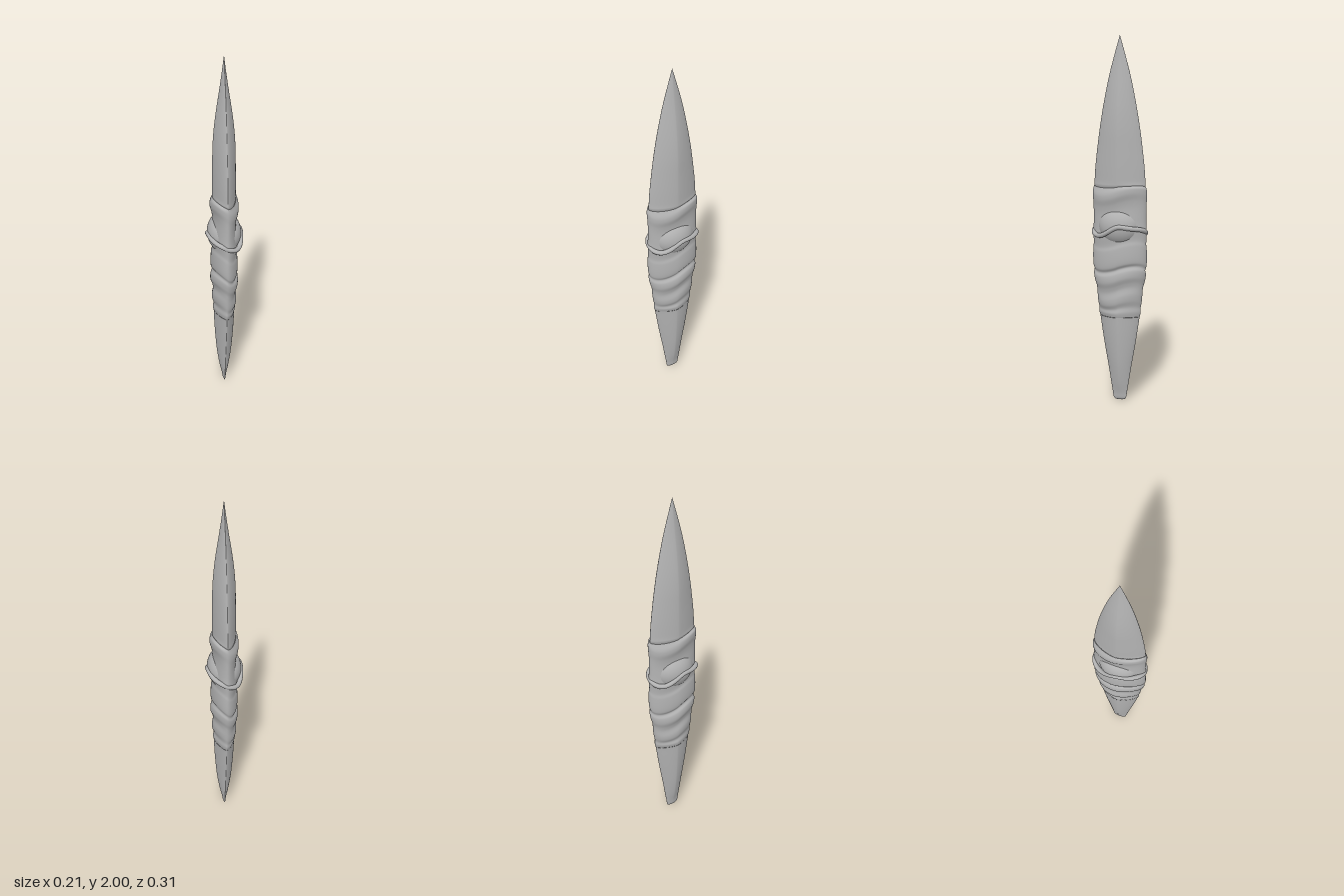
import * as THREE from 'three';

const SIDES = 72;
const stone = new THREE.MeshStandardMaterial({ color: 0xb2b2b2 });
stone.name = 'pale grey';

// 1 inside the wrapped grip, fading to 0 on the blade and tail
const grip = y => THREE.MathUtils.smoothstep(y, 0.46, 0.6) * (1 - THREE.MathUtils.smoothstep(y, 1.17, 1.22));
const power = (v, p) => Math.sign(v) * Math.abs(v) ** p;

// Lofts lens-shaped sections [half width, height, half depth], listed top to bottom
function loft(name, sections, rows) {
  const curve = new THREE.CatmullRomCurve3(sections.map(s => new THREE.Vector3(...s)), false, 'centripetal');
  const pos = [], index = [];
  for (let i = 0; i <= rows; i++) {
    const c = curve.getPoint(i / rows), g = grip(c.y), p = 1.42 - 0.3 * g;
    for (let j = 0; j < SIDES; j++) {
      const a = j / SIDES * Math.PI * 2;
      pos.push(Math.max(c.x, 0) * power(Math.cos(a), p),
        c.y - 0.022 * g * Math.sin(2 * a),
        Math.max(c.z, 0) * power(Math.sin(a), p));
      if (i < rows) {
        const k = (j + 1) % SIDES, r = i * SIDES, n = r + SIDES;
        index.push(r + j, r + k, n + j, r + k, n + k, n + j);
      }
    }
  }
  // flat lower end
  const last = rows * SIDES, centre = pos.length / 3;
  pos.push(0, sections.at(-1)[1], 0);
  for (let j = 0; j < SIDES; j++) index.push(last + j, last + (j + 1) % SIDES, centre);
  const geo = new THREE.BufferGeometry();
  geo.setAttribute('position', new THREE.Float32BufferAttribute(pos, 3));
  geo.setIndex(index);
  geo.computeVertexNormals();
  return named(name, geo);
}

function named(name, geo) {
  const mesh = new THREE.Mesh(geo, stone);
  mesh.name = name;
  return mesh;
}

export function createModel() {
  const model = new THREE.Group();
  model.name = 'doubleEndedBlade';

  model.add(loft('upperBlade', [
    [0, 2, 0], [0.012, 1.9, 0.029], [0.026, 1.8, 0.056], [0.041, 1.7, 0.078], [0.053, 1.6, 0.097],
    [0.06, 1.5, 0.113], [0.062, 1.4, 0.126], [0.063, 1.3, 0.137], [0.063, 1.19, 0.144]
  ], 40));

  // folded wrapping with raised bands and creases
  model.add(loft('wrappedGrip', [
    [0.063, 1.2, 0.144], [0.074, 1.18, 0.15], [0.076, 1.15, 0.151], [0.066, 1.11, 0.148],
    [0.062, 1.07, 0.147], [0.066, 1.0, 0.147], [0.068, 0.95, 0.15], [0.064, 0.89, 0.147],
    [0.07, 0.86, 0.15], [0.071, 0.77, 0.149], [0.06, 0.747, 0.142], [0.072, 0.725, 0.146],
    [0.075, 0.69, 0.141], [0.064, 0.655, 0.131], [0.06, 0.63, 0.128], [0.067, 0.59, 0.125],
    [0.066, 0.56, 0.122], [0.057, 0.53, 0.117], [0.062, 0.505, 0.118], [0.058, 0.48, 0.112]
  ], 130));

  model.add(loft('lowerBlade', [
    [0.058, 0.49, 0.113], [0.055, 0.4, 0.1], [0.049, 0.3, 0.084], [0.04, 0.2, 0.066],
    [0.025, 0.1, 0.05], [0.012, 0.04, 0.04], [0.008, 0.012, 0.035], [0.004, 0.003, 0.026], [0.002, 0, 0.015]
  ], 40));

  // rounded boss showing on both broad faces
  const boss = new THREE.SphereGeometry(1, 48, 32);
  boss.scale(0.092, 0.112, 0.118);
  boss.translate(0, 0.985, 0);
  model.add(named('boss', boss));

  // slanted lid band running round the boss and both edges
  const path = [];
  for (let i = 0; i < 48; i++) {
    const a = i / 48 * Math.PI * 2, c = Math.cos(a), s = Math.sin(a);
    path.push(new THREE.Vector3(0.09 * power(c, 0.95), 0.955 + 0.03 * c ** 8 - 0.022 * Math.sin(2 * a), 0.143 * power(s, 1.1)));
  }
  const lid = new THREE.TubeGeometry(new THREE.CatmullRomCurve3(path, true), 96, 0.013, 10, true);
  model.add(named('lidBand', lid));

  // short oblique folds on each broad face, repeated by a half turn
  for (const turn of [0, Math.PI]) {
    for (const [y, rise, reach, x] of [[0.7, 0.025, 0.09, 0.052], [0.61, 0.05, 0.075, 0.046]]) {
      const fold = new THREE.TubeGeometry(new THREE.QuadraticBezierCurve3(
        new THREE.Vector3(x - 0.03, y - rise, reach),
        new THREE.Vector3(x + 0.025, y - rise * 0.5, 0),
        new THREE.Vector3(x - 0.03, y + rise, -reach)), 24, 0.014, 10);
      const mesh = named('fold', fold);
      mesh.rotation.y = turn;
      model.add(mesh);
    }
  }
  return model;
}
